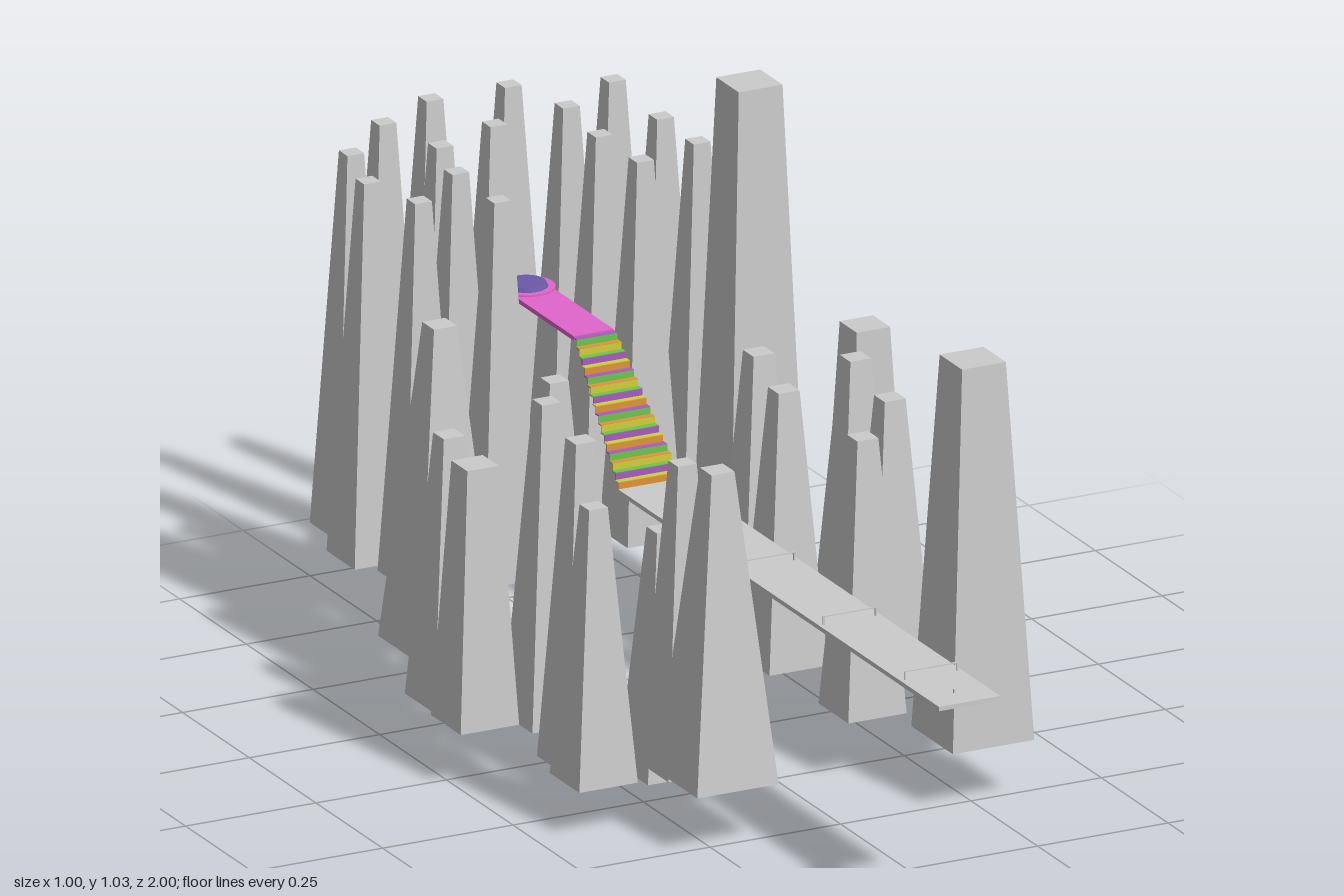
import * as THREE from 'three';

const mat = (color) => new THREE.MeshStandardMaterial({ color, flatShading: true });
const grey = mat(0xcccccc);
const pink = mat(0xe066cc);
const violet = mat(0x6a5aa8);
const stripes = [0xe0953c, 0xa85cc0, 0xd0d03c, 0x6cc84c].map(mat);
const CX = -0.008; // centre line of the path

function add(parent, name, geometry, material, x, y, z) {
  const mesh = new THREE.Mesh(geometry, material);
  mesh.name = name;
  mesh.position.set(x, y, z);
  parent.add(mesh);
  return mesh;
}

const box = (parent, name, w, h, d, material, x, y, z) =>
  add(parent, name, new THREE.BoxGeometry(w, h, d), material, x, y, z);

// Square tapering pillar, given half widths and the heights of base and top
function pillar(parent, name, x, z, y0, y1, base, top) {
  const g = new THREE.CylinderGeometry(top * Math.SQRT2, base * Math.SQRT2, y1 - y0, 4);
  g.rotateY(Math.PI / 4);
  add(parent, name, g, grey, x, (y0 + y1) / 2, z);
}

export function createModel() {
  const model = new THREE.Group();

  // Tall pillars clustered at the back
  const backPillars = new THREE.Group();
  backPillars.name = 'backPillars';
  model.add(backPillars);
  [
    [-0.045, -0.948], [0.105, -0.948], [0.275, -0.89], [-0.17, -0.88],
    [-0.287, -0.772], [0.147, -0.812], [-0.005, -0.787], [-0.135, -0.735],
    [0.265, -0.69], [0.132, -0.66], [-0.325, -0.635], [-0.17, -0.607],
    [0.265, -0.553], [0.138, -0.517], [-0.292, -0.508], [-0.17, -0.45],
  ].forEach(([x, z]) => pillar(backPillars, 'backPillar', x, z, 0.17, 0.853, 0.053, 0.016));

  // Shorter pillars beside the path: x, z, base height, top height, top half width
  const sidePillars = new THREE.Group();
  sidePillars.name = 'sidePillars';
  model.add(sidePillars);
  [
    [0.415, -0.22, 0.108, 0.603, 0.032], [0.192, -0.182, 0.108, 0.603, 0.02],
    [0.328, -0.085, 0.108, 0.603, 0.02], [0.147, 0, 0.108, 0.603, 0.02],
    [0.29, 0.118, 0.108, 0.603, 0.02], [0.442, 0.122, 0.108, 0.603, 0.02],
    [0.16, 0.27, 0.108, 0.603, 0.02], [0.35, 0.257, 0.108, 0.603, 0.02],
    [-0.18, -0.22, 0.072, 0.603, 0.018], [-0.402, -0.182, 0.072, 0.553, 0.02],
    [-0.265, -0.083, 0.045, 0.623, 0.018], [-0.445, 0, 0.1, 0.567, 0.03],
    [-0.302, 0.118, 0.04, 0.625, 0.02], [-0.15, 0.125, 0, 0.44, 0.02],
    [-0.18, 0.26, 0.055, 0.61, 0.018], [-0.376, 0.31, 0.085, 0.58, 0.018],
  ].forEach(([x, z, y0, y1, top]) => pillar(sidePillars, 'sidePillar', x, z, y0, y1, 0.056, top));

  // Four large corner towers
  pillar(model, 'backLeftTower', 0.256, -0.342, 0.032, 1.032, 0.078, 0.042);
  pillar(model, 'frontLeftTower', 0.272, 0.464, 0.108, 0.79, 0.078, 0.042);
  pillar(model, 'backRightTower', -0.338, -0.342, 0.11, 0.69, 0.078, 0.022);
  pillar(model, 'frontRightTower', -0.218, 0.464, 0.11, 0.67, 0.078, 0.022);

  // Long flat walkway with low hurdles across it
  box(model, 'walkway', 0.118, 0.008, 1.205, grey, CX, 0.385, 0.3975);
  for (const z of [0.245, 0.55, 0.855]) {
    for (const side of [-1, 1]) {
      box(model, 'hurdlePost', 0.003, 0.018, 0.003, grey, CX + side * 0.05, 0.396, z);
    }
    box(model, 'hurdleBar', 0.1, 0.002, 0.003, grey, CX, 0.404, z);
  }
  box(model, 'marker', 0.003, 0.008, 0.003, grey, CX - 0.004, 0.392, 0.95);

  // Striped stairs, narrowing as they climb
  const stairs = new THREE.Group();
  stairs.name = 'stairs';
  model.add(stairs);
  const count = 16;
  const rise = 0.205 / count;
  const run = 0.208 / count;
  for (let i = 0; i < count; i++) {
    const width = 0.118 - (0.04 * i) / (count - 1);
    const y = 0.388 + i * rise;
    const z = -0.203 - i * run;
    const material = stripes[i % 4];
    box(stairs, 'riser', width, rise, 0.002, material, CX, y + rise / 2, z);
    box(stairs, 'tread', width, 0.002, run, stripes[(i + 2) % 4], CX, y + rise, z - run / 2);
  }

  // Upper walkway ending in a round platform
  box(model, 'upperWalkway', 0.077, 0.008, 0.25, pink, CX, 0.592, -0.535);
  add(model, 'roundPlatform', new THREE.CylinderGeometry(0.05, 0.05, 0.01, 32), pink, CX, 0.594, -0.662);
  add(model, 'platformDisc', new THREE.CylinderGeometry(0.034, 0.038, 0.008, 32), violet, CX, 0.602, -0.662);

  return model;
}
